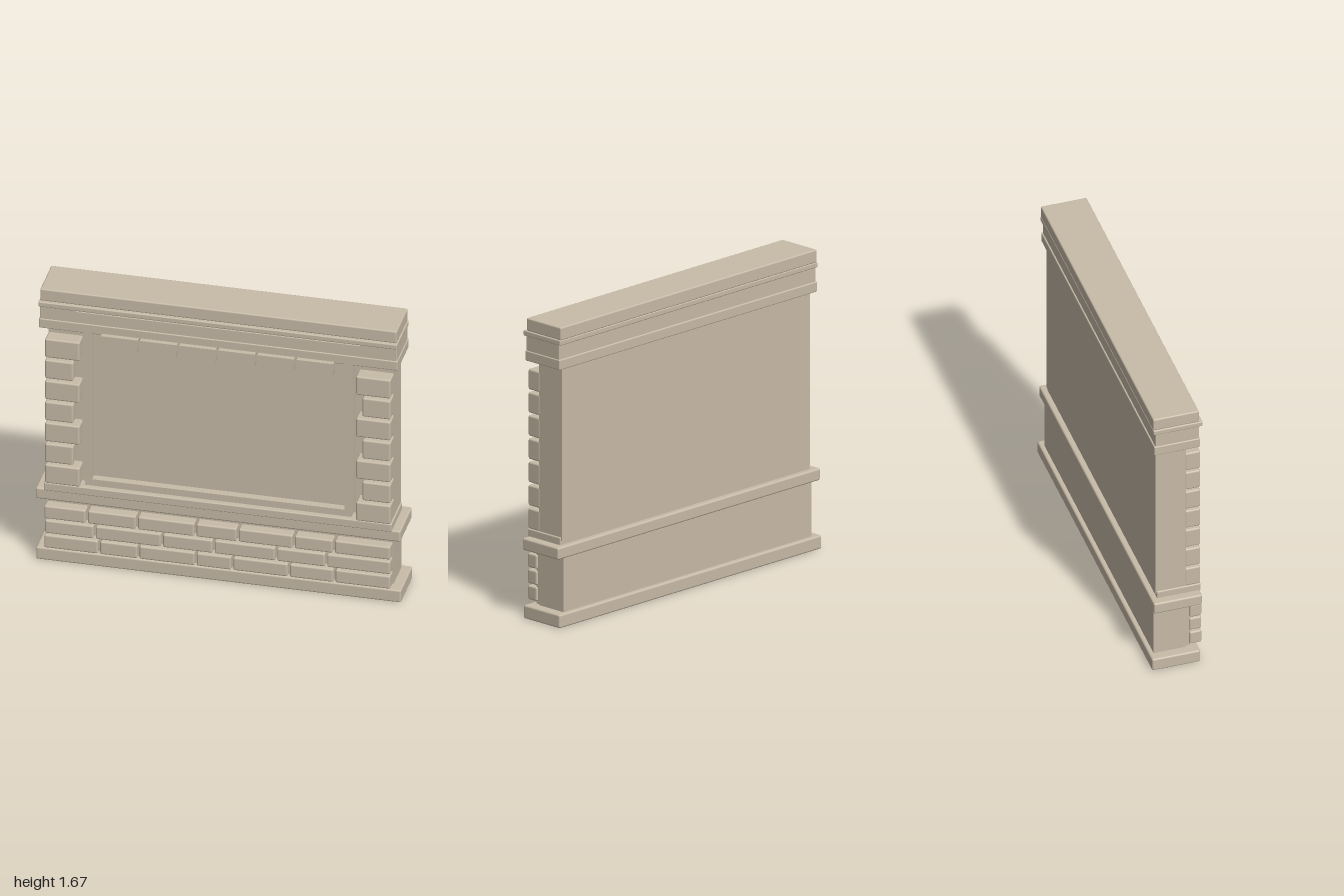
import * as THREE from 'three';
import { RoundedBoxGeometry } from 'three/addons/geometries/RoundedBoxGeometry.js';

export function createModel() {
  const model = new THREE.Group();
  const stone = new THREE.MeshStandardMaterial({ color: 0xc8bba8 });
  stone.name = 'stone';

  // Box between two corners, with softened edges when bevel > 0
  function block(name, x0, x1, y0, y1, z0, z1, bevel = 0, parent = model) {
    const w = x1 - x0, h = y1 - y0, d = z1 - z0;
    const geometry = bevel
      ? new RoundedBoxGeometry(w, h, d, 2, bevel)
      : new THREE.BoxGeometry(w, h, d);
    const mesh = new THREE.Mesh(geometry, stone);
    mesh.name = name;
    mesh.position.set((x0 + x1) / 2, (y0 + y1) / 2, (z0 + z1) / 2);
    parent.add(mesh);
    return mesh;
  }

  function group(name) {
    const g = new THREE.Group();
    g.name = name;
    model.add(g);
    return g;
  }

  // Plinth, lower wall and ledge
  block('plinth', -1, 1, 0, 0.075, -0.15, 0.12, 0.01);
  block('lowerWall', -0.945, 0.945, 0.06, 0.39, -0.125, 0.053);
  block('mortarBacking', -0.935, 0.935, 0.06, 0.39, 0.04, 0.086);
  block('ledge', -1, 1, 0.38, 0.447, -0.14, 0.13, 0.01);
  block('sill', -0.953, 0.953, 0.44, 0.488, -0.108, 0.137, 0.006);

  // Upper wall
  block('upperWall', -0.945, 0.945, 0.47, 1.45, -0.115, 0.057);

  // Cornice stack
  block('lowerCornice', -0.983, 0.983, 1.435, 1.492, -0.133, 0.125, 0.006);
  block('frieze', -0.978, 0.978, 1.485, 1.575, -0.125, 0.12, 0.004);
  block('corniceMoulding', -0.983, 0.983, 1.572, 1.602, -0.137, 0.138, 0.006);
  block('capSlab', -0.977, 0.977, 1.6, 1.673, -0.137, 0.12, 0.008);
  block('friezePanel', -0.78, 0.78, 1.515, 1.563, 0.11, 0.13);

  // Staggered brick courses: end positions of each brick along x
  const courses = [
    [0.09, [-0.95, -0.65, -0.434, -0.12, 0.08, 0.39, 0.64, 0.946]],
    [0.18, [-0.946, -0.674, -0.305, -0.022, 0.32, 0.594, 0.946]],
    [0.27, [-0.95, -0.717, -0.442, -0.122, 0.11, 0.417, 0.637, 0.946]],
  ];
  const lowerBricks = group('lowerBricks');
  for (const [y, ends] of courses) {
    for (let i = 0; i < ends.length - 1; i++) {
      const left = ends[i] + (i > 0 ? 0.006 : 0);
      const right = ends[i + 1] - (i < ends.length - 2 ? 0.006 : 0);
      block('brick', left, right, y, y + 0.079, 0.075, 0.143, 0.01, lowerBricks);
    }
  }

  // Quoin stones up both sides, alternately wide and narrow
  for (const side of [-1, 1]) {
    const quoins = group(side > 0 ? 'leftQuoins' : 'rightQuoins');
    for (let i = 0; i < 7; i++) {
      const inner = i % 2 ? 0.792 : 0.757;
      const y = 0.486 + i * 0.1295;
      const [a, b] = side > 0 ? [inner, 0.947] : [-0.947, -inner];
      block('quoin', a, b, y, y + 0.115, 0.05, 0.138, 0.01, quoins);
    }
  }

  // Framed panel
  block('panel', -0.7, 0.7, 0.52, 1.44, 0.05, 0.076);
  block('bottomRail', -0.73, 0.73, 0.496, 0.535, 0.05, 0.12);
  for (const side of [-1, 1]) {
    const jamb = block('jamb', -0.023, 0.023, 0.525, 1.44, 0.05, 0.125);
    jamb.position.x = side * 0.715;
  }

  // Scalloped valance
  const r = 0.101;
  const shape = new THREE.Shape();
  shape.moveTo(-r, 1.445);
  shape.lineTo(-r, 1.4);
  shape.absarc(0, 1.4, r, Math.PI, Math.PI * 2, false);
  shape.lineTo(r, 1.445);
  shape.closePath();
  const scallopGeometry = new THREE.ExtrudeGeometry(shape, {
    depth: 0.04, bevelEnabled: false, curveSegments: 24,
  });
  const valance = group('valance');
  for (let i = 0; i < 6; i++) {
    const scallop = new THREE.Mesh(scallopGeometry, stone);
    scallop.name = 'scallop';
    scallop.position.set((i - 2.5) * 0.2142, 0, 0.112);
    valance.add(scallop);
  }

  return model;
}
